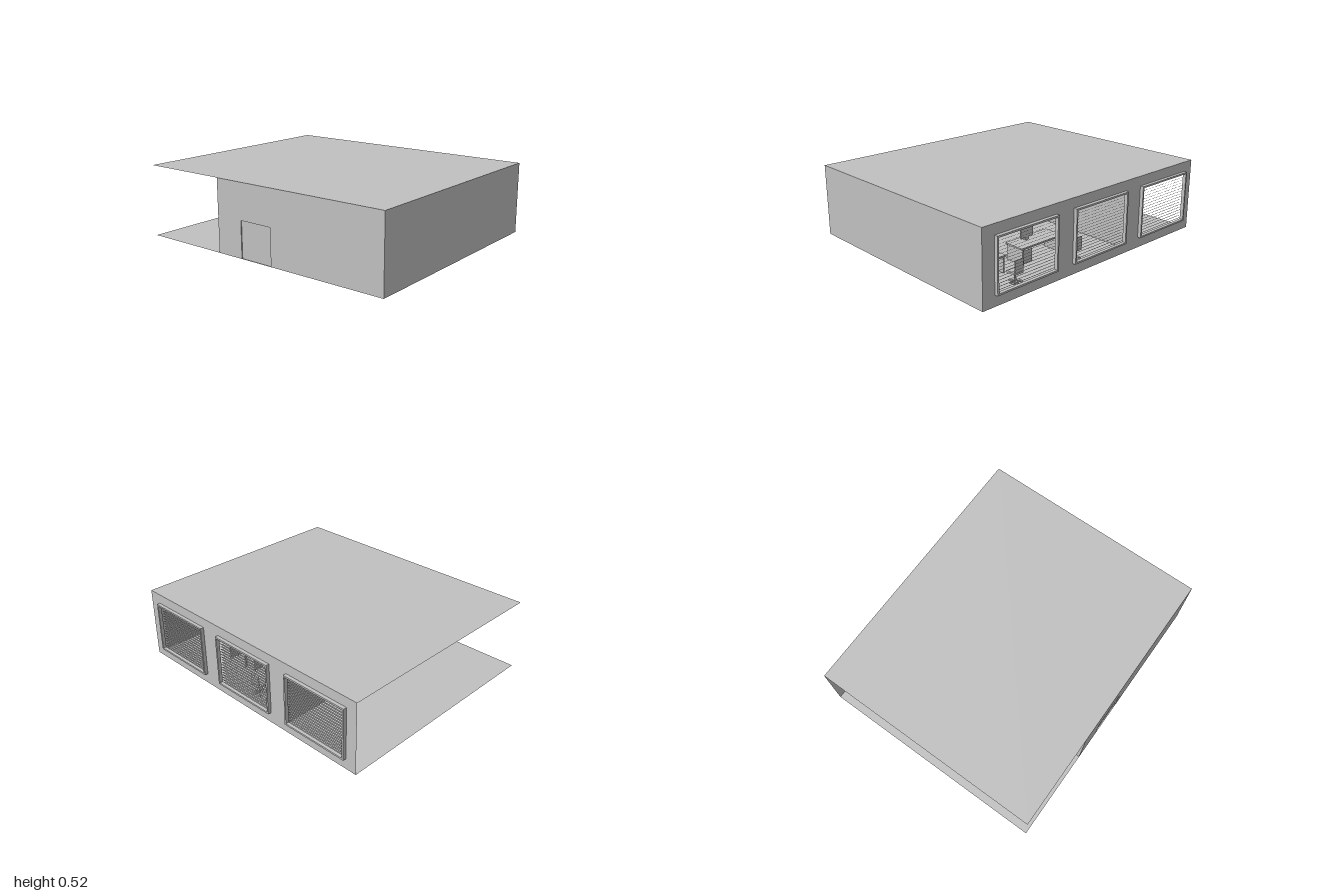
import * as THREE from 'three';

export function createModel() {
  const root = new THREE.Group();
  const grey = new THREE.MeshStandardMaterial({ color: 0xc0c0c0, side: THREE.DoubleSide });
  grey.name = 'light grey';

  const W = 1, FRONT = 0.85, BACK = -0.83, FLOOR = 0.004, TOP = 0.52, PARTITION = -0.34;
  const H = TOP - FLOOR, D = FRONT - BACK, MIDZ = (FRONT + BACK) / 2, MIDY = (TOP + FLOOR) / 2;

  function add(parent, name, geo, x = 0, y = 0, z = 0, rx = 0, ry = 0) {
    const m = new THREE.Mesh(geo, grey);
    m.name = name;
    m.position.set(x, y, z);
    m.rotation.set(rx, ry, 0);
    parent.add(m);
    return m;
  }
  const box = (parent, name, w, h, d, x, y, z, rx = 0) =>
    add(parent, name, new THREE.BoxGeometry(w, h, d), x, y, z, rx);
  function group(name, x = 0, y = 0, z = 0) {
    const g = new THREE.Group();
    g.name = name;
    g.position.set(x, y, z);
    root.add(g);
    return g;
  }
  function rect(P, x0, y0, x1, y1) {
    const p = new P();
    p.moveTo(x0, y0); p.lineTo(x1, y0); p.lineTo(x1, y1); p.lineTo(x0, y1);
    p.closePath();
    return p;
  }

  // Floor, ceiling and side walls: thin sheets
  add(root, 'floor', new THREE.PlaneGeometry(2 * W, D), 0, FLOOR, MIDZ, -Math.PI / 2);
  add(root, 'ceiling', new THREE.PlaneGeometry(2 * W, D), 0, TOP, MIDZ, -Math.PI / 2);
  add(root, 'endWall', new THREE.PlaneGeometry(D, H), W, MIDY, MIDZ, 0, Math.PI / 2);
  add(root, 'corridorWall', new THREE.PlaneGeometry(D, H), PARTITION, MIDY, MIDZ, 0, -Math.PI / 2);

  // Front wall with a slightly recessed door
  const front = rect(THREE.Shape, PARTITION, FLOOR, W, TOP);
  front.holes.push(rect(THREE.Path, -0.13, FLOOR + 0.0005, 0.13, 0.265));
  add(root, 'frontWall', new THREE.ShapeGeometry(front), 0, 0, FRONT);
  box(root, 'door', 0.26, 0.261, 0.006, 0, 0.1345, FRONT - 0.011);
  for (const s of [-1, 1]) box(root, 'doorJamb', 0.004, 0.261, 0.012, s * 0.132, 0.1345, FRONT - 0.007);
  box(root, 'doorHead', 0.268, 0.004, 0.012, 0, 0.267, FRONT - 0.007);

  // Window wall with three openings, each with a frame and a blind
  const windows = [-0.667, -0.007, 0.653], WW = 0.506, Y0 = 0.08, Y1 = 0.45;
  const back = rect(THREE.Shape, -W, FLOOR, W, TOP);
  for (const x of windows) back.holes.push(rect(THREE.Path, x - WW / 2, Y0, x + WW / 2, Y1));
  add(root, 'windowWall', new THREE.ShapeGeometry(back), 0, 0, BACK);

  for (const x of windows) {
    const win = group('window', x, 0, BACK);
    const frame = rect(THREE.Shape, -WW / 2, Y0, WW / 2, Y1);
    frame.holes.push(rect(THREE.Path, -WW / 2 + 0.012, Y0 + 0.012, WW / 2 - 0.012, Y1 - 0.012));
    add(win, 'windowFrame', new THREE.ExtrudeGeometry(frame, { depth: 0.025, bevelEnabled: false }), 0, 0, -0.025);
    box(win, 'blindHeader', 0.55, 0.026, 0.035, 0, 0.487, 0.025);
    // Slats slope down into the room
    const n = 20;
    for (let i = 0; i < n; i++)
      box(win, 'slat', 0.51, 0.0015, 0.026, 0, 0.068 + i * 0.0205, 0.022, 0.5);
  }

  // Desks with side panels, a drawer unit and a screen
  for (const x of [0.72, 0.2]) {
    const desk = group('desk', x, FLOOR, -0.44);
    box(desk, 'deskTop', 0.38, 0.01, 0.16, 0, 0.115, 0);
    for (const s of [-1, 1]) box(desk, 'deskSide', 0.01, 0.11, 0.15, s * 0.175, 0.055, 0);
    box(desk, 'modestyPanel', 0.34, 0.08, 0.006, 0, 0.07, 0.065);
    box(desk, 'drawerUnit', 0.08, 0.09, 0.13, 0.125, 0.05, 0);
    box(desk, 'screenStand', 0.03, 0.03, 0.02, 0.05, 0.135, 0.03);
    box(desk, 'screen', 0.11, 0.07, 0.01, 0.05, 0.175, 0.025);
  }

  // Swivel chairs by the windows
  for (const x of [0.585, 0.05]) {
    const chair = group('chair', x, 0, -0.66);
    for (let i = 0; i < 5; i++) {
      const a = (i / 5) * Math.PI * 2;
      const leg = add(chair, 'chairFoot', new THREE.BoxGeometry(0.045, 0.008, 0.01),
        Math.cos(a) * 0.022, 0.01, -Math.sin(a) * 0.022);
      leg.rotation.y = a;
    }
    // Curved base rail
    const rail = new THREE.QuadraticBezierCurve3(
      new THREE.Vector3(-0.035, 0.005, -0.03), new THREE.Vector3(0, 0.005, 0.005), new THREE.Vector3(0.04, 0.005, -0.035));
    add(chair, 'baseRail', new THREE.TubeGeometry(rail, 10, 0.005, 6));
    add(chair, 'chairPost', new THREE.CylinderGeometry(0.006, 0.006, 0.06, 8), 0, 0.04, 0);
    box(chair, 'chairSeat', 0.075, 0.014, 0.075, 0, 0.075, 0);
    box(chair, 'chairBack', 0.07, 0.08, 0.01, 0, 0.125, -0.035);
  }

  // Square planter, and a round tub whose bases sit in the floor
  box(root, 'planter', 0.18, 0.1, 0.18, -0.24, 0.052, 0.276);
  add(root, 'tub', new THREE.CylinderGeometry(0.085, 0.075, 0.09, 20), 0.68, 0.047, 0.02);
  return root;
}
